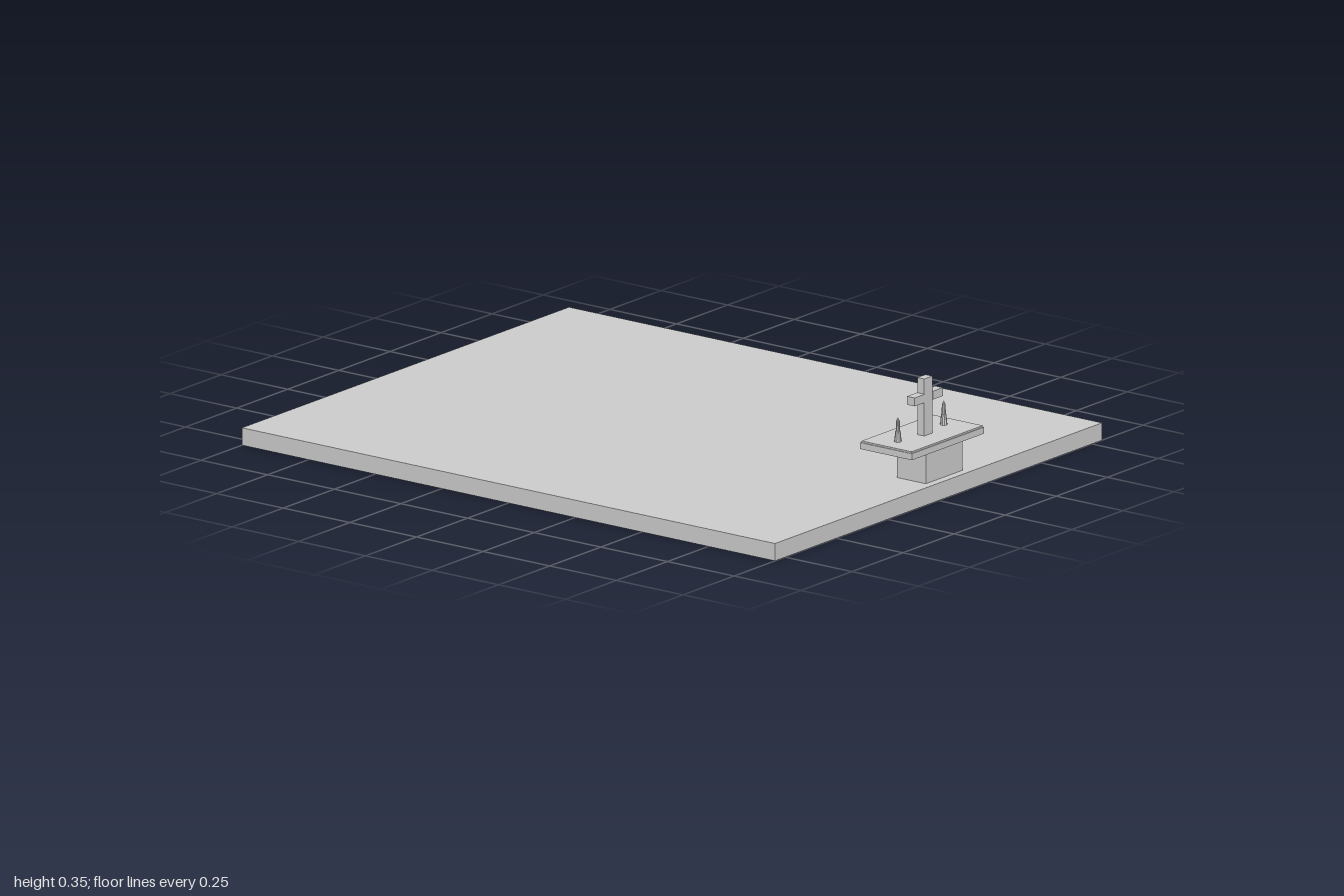
import * as THREE from 'three';

export function createModel() {
  const group = new THREE.Group();
  const material = new THREE.MeshStandardMaterial({ color: 0xcccccc, flatShading: true });

  const add = (name, geometry, x, y, z, parent = group) => {
    const mesh = new THREE.Mesh(geometry, material);
    mesh.name = name;
    mesh.position.set(x, y, z);
    parent.add(mesh);
    return mesh;
  };
  // Box given by its extents along each axis
  const box = (name, [x0, x1], [y0, y1], [z0, z1], parent) =>
    add(name, new THREE.BoxGeometry(x1 - x0, y1 - y0, z1 - z0),
      (x0 + x1) / 2, (y0 + y1) / 2, (z0 + z1) / 2, parent);

  // Floor slab
  box('floor', [-0.8, 0.8], [0, 0.054], [-1, 1]);

  // Altar table, placed near the front edge
  const altar = new THREE.Group();
  altar.name = 'altar';
  altar.position.x = 0.062;
  group.add(altar);
  box('pedestal', [-0.09, 0.09], [0.054, 0.15], [0.865, 0.974], altar);
  box('pedestalBackOrnament', [-0.012, 0.012], [0.112, 0.138], [0.861, 0.865], altar);
  box('tabletop', [-0.177, 0.177], [0.15, 0.17], [0.794, 0.988], altar);
  box('tabletopCover', [-0.174, 0.174], [0.17, 0.175], [0.797, 0.985], altar);

  // Standing cross
  box('crossPost', [-0.02, 0.02], [0.175, 0.352], [0.888, 0.914], altar);
  for (const side of [-1, 1]) {
    const ends = side < 0 ? [-0.069, -0.02] : [0.02, 0.069];
    box('crossArm', ends, [0.279, 0.305], [0.887, 0.916], altar);
  }

  // Candles on small holders
  for (const side of [-1, 1]) {
    const candle = new THREE.Group();
    candle.name = 'candle';
    candle.position.set(side * 0.112, 0.175, 0.886);
    altar.add(candle);
    add('candleHolder', new THREE.CylinderGeometry(0.008, 0.011, 0.032, 10), 0, 0.016, 0, candle);
    add('candleStick', new THREE.CylinderGeometry(0.0055, 0.0065, 0.032, 10), 0, 0.048, 0, candle);
    add('candleFlame', new THREE.ConeGeometry(0.005, 0.011, 8), 0, 0.0695, 0, candle);
  }

  return group;
}
